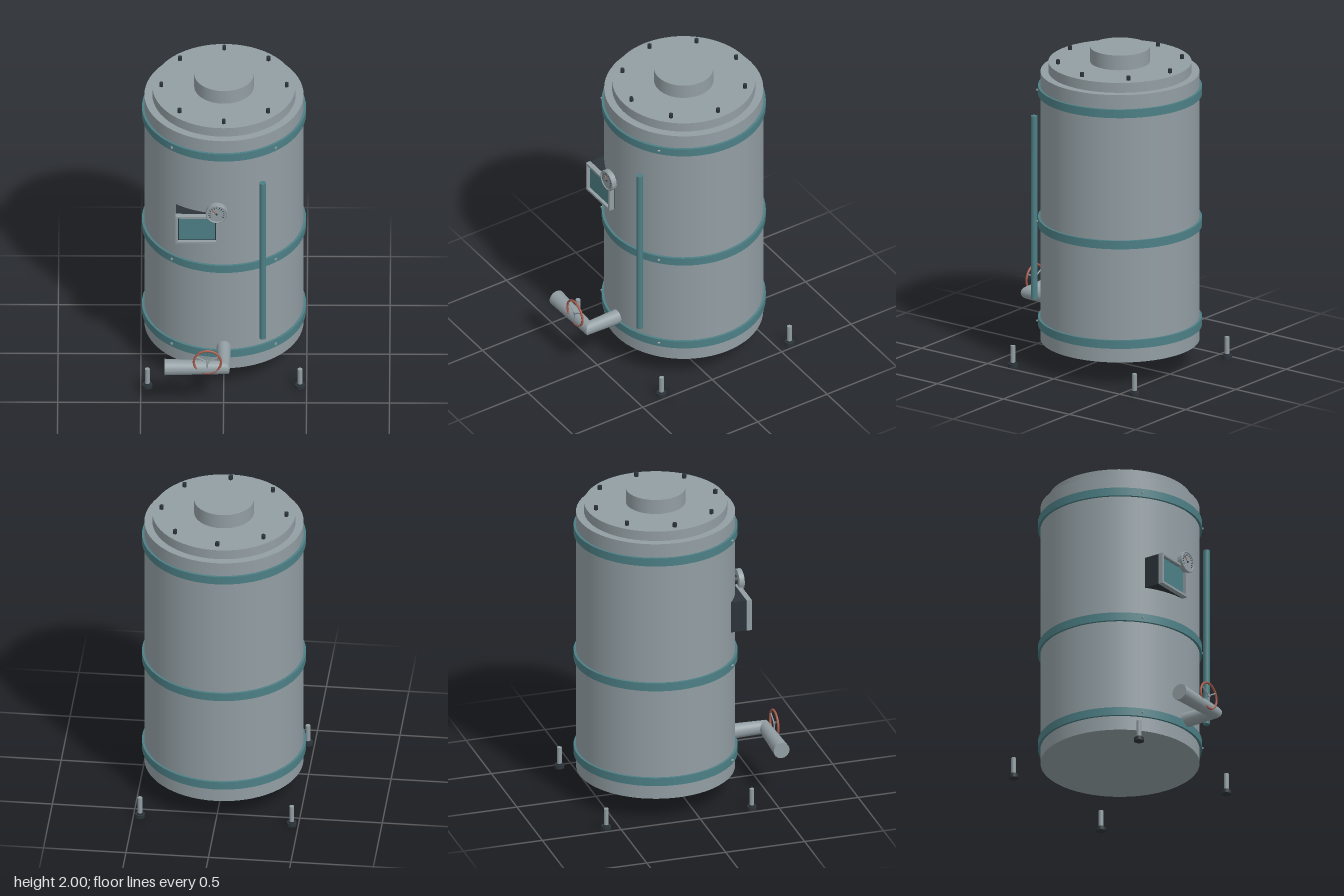
import * as THREE from 'three';

const mat = (name, color, side = THREE.FrontSide) => {
  const m = new THREE.MeshStandardMaterial({ color, side });
  m.name = name;
  return m;
};

export function createModel() {
  const root = new THREE.Group();
  root.name = 'storageTank';
  const steel = mat('greySteel', 0x929ea3);
  const teal = mat('tealPaint', 0x4c7f85);
  const dark = mat('darkMetal', 0x2c343a);
  const red = mat('redPaint', 0xa85a4a);
  const CZ = -0.122; // tank axis

  const add = (name, geo, material, x = 0, y = 0, z = 0, parent = root) => {
    const m = new THREE.Mesh(geo, material);
    m.name = name;
    m.position.set(x, y, z);
    parent.add(m);
    return m;
  };
  const cyl = (r, h, n = 32) => new THREE.CylinderGeometry(r, r, h, n);
  const disc = (r, h, n = 32) => cyl(r, h, n).rotateX(Math.PI / 2); // axis along z
  const box = (w, h, d) => new THREE.BoxGeometry(w, h, d);

  // Tank body, lid flange and neck
  add('tankBody', cyl(0.48, 1.692, 64), steel, 0, 0.999, CZ);
  add('lidFlange', cyl(0.432, 0.07, 64), steel, 0, 1.872, CZ);
  add('neck', cyl(0.18, 0.1, 48), steel, 0, 1.95, CZ);

  // Lid bolts
  for (let i = 0; i < 8; i++) {
    const a = (i * Math.PI) / 4;
    add('lidBolt', cyl(0.0135, 0.03, 6), dark, 0.378 * Math.sin(a), 1.917, CZ + 0.378 * Math.cos(a));
  }

  // Hoops with a pair of small screws on the front
  for (const y of [0.27, 0.9, 1.73]) {
    add('hoop', cyl(0.495, 0.052, 64), teal, 0, y, CZ);
    for (const x of [-0.313, 0.313]) add('hoopScrew', disc(0.007, 0.03, 8), steel, x, y, 0.255);
  }

  // Free-standing feet: shaft on a dark pad
  for (const x of [-0.46, 0.46]) for (const dz of [-0.461, 0.461]) {
    add('footShaft', cyl(0.0145, 0.115, 16), steel, x, 0.0775, CZ + dz);
    add('footPad', cyl(0.03, 0.022, 16), dark, x, 0.011, CZ + dz);
    add('footCollar', cyl(0.019, 0.008, 16), dark, x, 0.026, CZ + dz);
  }

  // Level tube on the front
  add('levelTube', cyl(0.02, 1.155, 20), teal, 0.235, 0.9525, 0.35);

  // Control panel: dark housing, steel frame, recessed screen
  const panel = new THREE.Group();
  panel.name = 'controlPanel';
  panel.position.set(-0.16, 1.207, 0);
  root.add(panel);
  add('housing', box(0.256, 0.198, 0.11), dark, 0, 0, 0.312, panel);
  const frame = new THREE.Shape([[-1, -1], [1, -1], [1, 1], [-1, 1]].map(([a, b]) => new THREE.Vector2(a * 0.13, b * 0.1)));
  frame.holes.push(new THREE.Path([[-1, -1], [-1, 1], [1, 1], [1, -1]].map(([a, b]) => new THREE.Vector2(a * 0.115, b * 0.086))));
  add('frame', new THREE.ExtrudeGeometry(frame, { depth: 0.032, bevelEnabled: false }), steel, 0, 0, 0.362, panel);
  add('screenBorder', box(0.23, 0.172, 0.008), dark, 0, 0, 0.37, panel);
  add('screen', box(0.216, 0.158, 0.008), teal, 0, 0, 0.375, panel);

  // Pressure gauge with ticks and needle
  const gauge = new THREE.Group();
  gauge.name = 'gauge';
  gauge.position.set(-0.042, 1.335, 0);
  root.add(gauge);
  add('gaugeStem', disc(0.028, 0.06, 20), dark, 0, 0, 0.36, gauge);
  add('gaugeCase', disc(0.066, 0.028, 40), steel, 0, 0, 0.39, gauge);
  add('gaugeRim', new THREE.TorusGeometry(0.061, 0.005, 8, 40), steel, 0, 0, 0.405, gauge);
  for (let i = 0; i < 13; i++) {
    const a = (-30 + i * 20) * Math.PI / 180;
    add('gaugeTick', box(0.01, 0.004, 0.003), dark, 0.044 * Math.cos(a), 0.044 * Math.sin(a), 0.4045, gauge).rotation.z = a;
  }
  add('needle', box(0.045, 0.004, 0.003), red, -0.012, 0.012, 0.4055, gauge).rotation.z = -Math.PI / 4;
  add('needleHub', disc(0.006, 0.005, 12), dark, 0, 0, 0.406, gauge);

  // Mitred outlet pipe: three rings lofted, capped at the outer end
  const n = 28, pos = [], idx = [];
  const rings = [
    (c, s) => [0.045 * c, 0.31 + 0.048 * s, 0.3],
    (c, s) => [0.037 * c, 0.31 + 0.042 * s, 0.565 + 0.037 * c],
    (c, s) => [-0.355, 0.31 + 0.05 * s, 0.562 + 0.05 * c],
  ];
  for (let k = 0; k < 2; k++) for (let i = 0; i <= n; i++) {
    const a = (i / n) * Math.PI * 2;
    pos.push(...rings[k](Math.cos(a), Math.sin(a)), ...rings[k + 1](Math.cos(a), Math.sin(a)));
  }
  for (let k = 0; k < 2; k++) for (let i = 0; i < n; i++) {
    const a = k * 2 * (n + 1) + i * 2;
    idx.push(a, a + 2, a + 1, a + 1, a + 2, a + 3);
  }
  const pipe = new THREE.BufferGeometry();
  pipe.setAttribute('position', new THREE.Float32BufferAttribute(pos, 3));
  pipe.setIndex(idx);
  pipe.computeVertexNormals();
  add('outletPipe', pipe, steel);
  add('pipeEnd', new THREE.CircleGeometry(0.05, n).rotateY(-Math.PI / 2), steel, -0.355, 0.31, 0.562);

  // Valve handwheel
  const wheel = new THREE.Group();
  wheel.name = 'handwheel';
  wheel.position.set(-0.097, 0.373, 0.598);
  root.add(wheel);
  add('wheelRim', new THREE.TorusGeometry(0.082, 0.007, 10, 40), red, 0, 0, 0, wheel);
  add('wheelHub', disc(0.01, 0.012, 16), steel, 0, 0, 0, wheel);
  for (let i = 0; i < 3; i++) {
    const a = Math.PI / 6 + (i * Math.PI * 2) / 3;
    const spoke = add('wheelSpoke', cyl(0.0045, 0.08, 8), steel, 0.041 * Math.cos(a), 0.041 * Math.sin(a), 0, wheel);
    spoke.rotation.z = a - Math.PI / 2;
  }
  return root;
}
